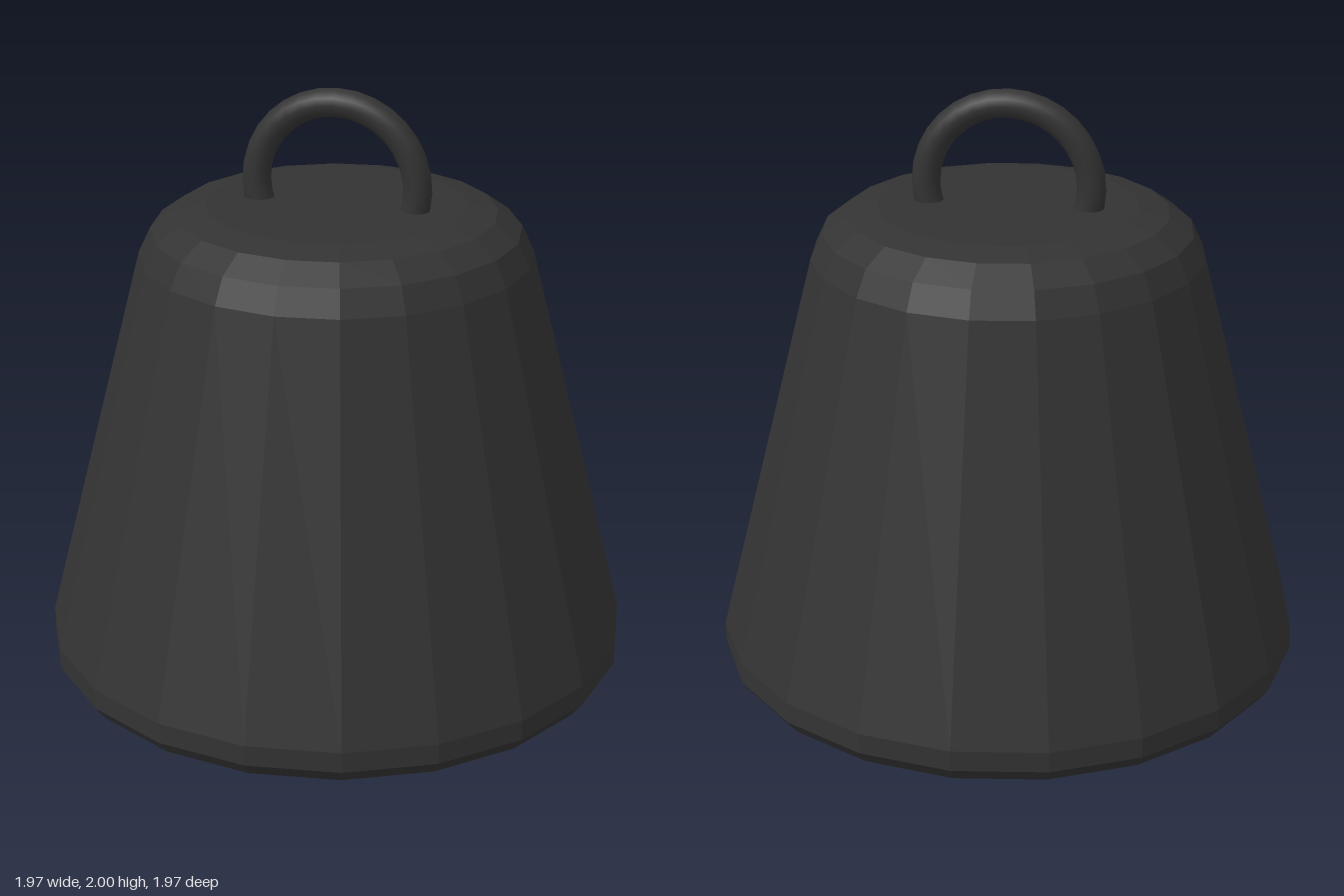
import * as THREE from 'three';

export function createModel() {
  const model = new THREE.Group();
  model.name = 'weight';
  const color = 0x333333;

  // Tapered 20-sided body with bevelled top and bottom rims
  const profile = [
    [0, 0], [0.87, 0], [0.95, 0.022], [0.985, 0.07], [0.985, 0.14],
    [0.65, 1.45], [0.61, 1.535], [0.53, 1.592], [0.43, 1.615], [0, 1.615],
  ].map(([r, y]) => new THREE.Vector2(r, y));
  const body = new THREE.Mesh(
    new THREE.LatheGeometry(profile, 20),
    new THREE.MeshStandardMaterial({ color, flatShading: true })
  );
  body.name = 'body';
  model.add(body);

  // Ring handle: an arc whose ends sink into the top of the body
  const dip = 0.4;
  const ring = new THREE.TorusGeometry(0.274, 0.048, 12, 20, Math.PI + 2 * dip);
  ring.rotateZ(-dip);
  const handle = new THREE.Mesh(ring, new THREE.MeshStandardMaterial({ color }));
  handle.name = 'handle';
  handle.position.y = 1.678;
  model.add(handle);

  return model;
}
